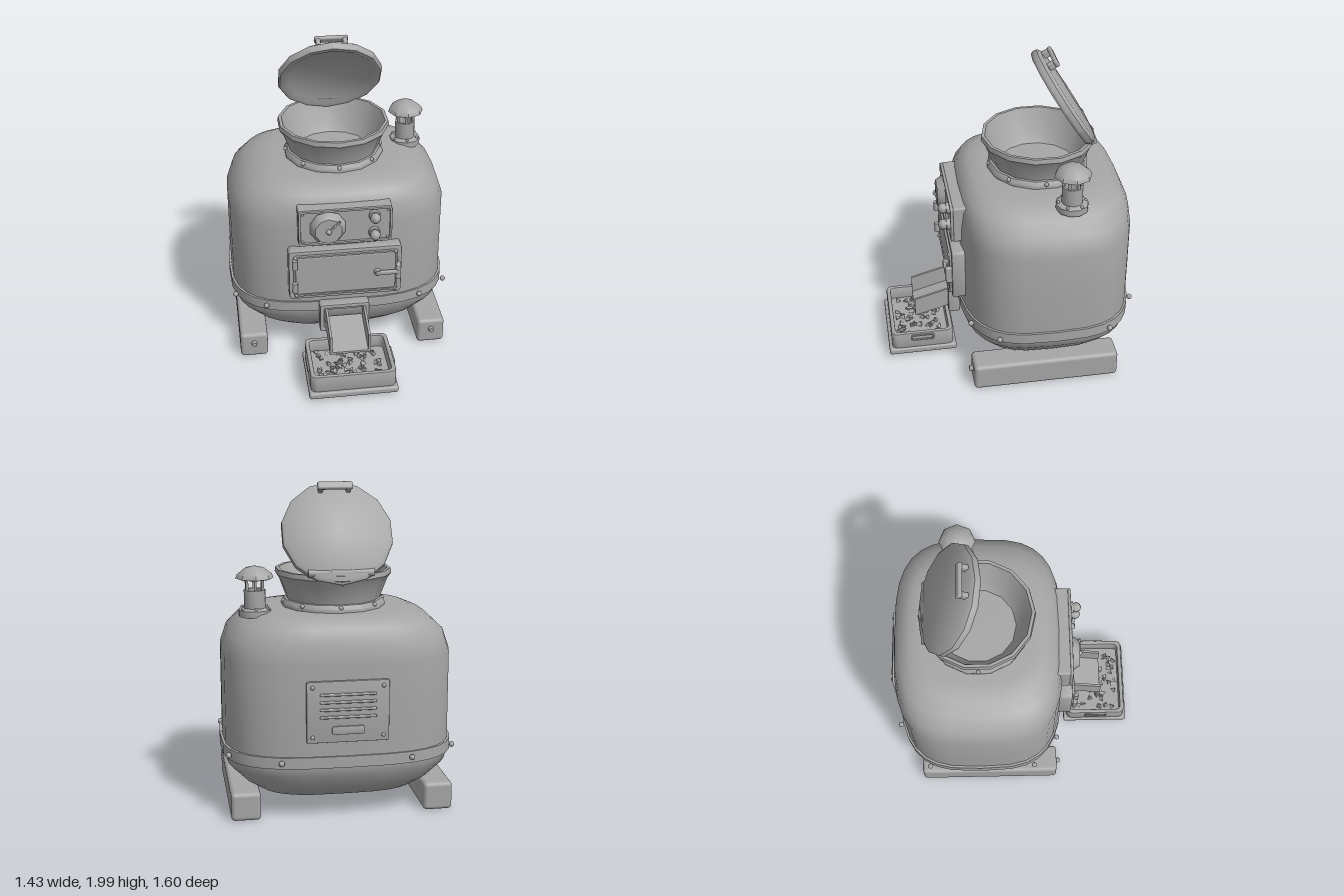
import * as THREE from 'three';
import { toCreasedNormals } from 'three/addons/utils/BufferGeometryUtils.js';
import { RoundedBoxGeometry } from 'three/addons/geometries/RoundedBoxGeometry.js';

const grey = new THREE.MeshStandardMaterial({ color: 0xa6a6a6, side: THREE.DoubleSide });
grey.name = 'grey metal';

function add(parent, name, geo, x = 0, y = 0, z = 0) {
  const m = new THREE.Mesh(geo, grey);
  m.name = name;
  m.position.set(x, y, z);
  parent.add(m);
  return m;
}
function group(parent, name, x = 0, y = 0, z = 0) {
  const g = new THREE.Group();
  g.name = name;
  g.position.set(x, y, z);
  parent.add(g);
  return g;
}
const box = (w, h, d, r = 0.01) => new RoundedBoxGeometry(w, h, d, 2, r);
const ball = (r) => new THREE.SphereGeometry(r, 8, 6);
const lathe = (pts, n) => toCreasedNormals(
  new THREE.LatheGeometry(pts.map((p) => new THREE.Vector2(...p)), n), 0.7);
// Cylinder lying along z
const disc = (r0, r1, d, n) => toCreasedNormals(
  new THREE.CylinderGeometry(r1, r0, d, n).rotateX(Math.PI / 2), 0.8);

// Rounded rectangle plate from z = 0 to d; with a margin it becomes a frame
function outline(s, w, h, r) {
  const x = w / 2, y = h / 2, q = Math.PI / 2;
  s.absarc(x - r, y - r, r, 0, q);
  s.absarc(r - x, y - r, r, q, 2 * q);
  s.absarc(r - x, r - y, r, 2 * q, 3 * q);
  s.absarc(x - r, r - y, r, 3 * q, 4 * q);
  s.closePath();
  return s;
}
function plate(w, h, r, d, margin = 0) {
  const s = outline(new THREE.Shape(), w, h, r);
  if (margin) s.holes.push(outline(new THREE.Path(), w - 2 * margin, h - 2 * margin, r * 0.7));
  const b = Math.min(0.008, d / 4);
  const g = new THREE.ExtrudeGeometry(s, { depth: d - 2 * b, bevelThickness: b, bevelSize: b,
    bevelOffset: -b, bevelSegments: 2, curveSegments: 3 });
  return toCreasedNormals(g.translate(0, 0, b), 0.7);
}

// Rounded-square cross-sections [y, half width, half depth] joined from bottom to top
function loft(rings, n = 32, power = 3.2, caps = true) {
  const pos = [], idx = [];
  const f = (v) => Math.sign(v) * Math.abs(v) ** (2 / power);
  for (const [y, hx, hz] of rings)
    for (let i = 0; i < n; i++) {
      const a = (i / n) * Math.PI * 2;
      pos.push(hx * f(Math.cos(a)), y, hz * f(Math.sin(a)));
    }
  for (let k = 0; k < rings.length - 1; k++)
    for (let i = 0; i < n; i++) {
      const a = k * n + i, b = k * n + ((i + 1) % n);
      idx.push(a, a + n, b + n, a, b + n, b);
    }
  if (caps) {
    const c = rings.length * n, t = c - n;
    pos.push(0, rings[0][0], 0, 0, rings[rings.length - 1][0], 0);
    for (let i = 0; i < n; i++) {
      const j = (i + 1) % n;
      idx.push(c, i, j, c + 1, t + j, t + i);
    }
  }
  const g = new THREE.BufferGeometry();
  g.setAttribute('position', new THREE.Float32BufferAttribute(pos, 3));
  g.setIndex(idx);
  g.computeVertexNormals();
  return g;
}

export function createModel() {
  const model = new THREE.Group();
  model.name = 'feeder machine';

  // Tank with its riveted belt
  const CZ = -0.225;
  add(model, 'tank', loft([[0.12, 0.43, 0.3], [0.14, 0.5, 0.4], [0.2, 0.59, 0.465], [0.3, 0.685, 0.535],
    [0.37, 0.7, 0.545], [0.7, 0.7, 0.545], [0.98, 0.7, 0.545], [1.1, 0.66, 0.53], [1.18, 0.575, 0.495],
    [1.22, 0.48, 0.43], [1.237, 0.38, 0.35]]), 0, 0, CZ);
  add(model, 'belt', toCreasedNormals(loft([[0.36, 0.7, 0.54], [0.36, 0.715, 0.555],
    [0.43, 0.715, 0.555], [0.43, 0.7, 0.54]], 32, 3.2, false), 0.7), 0, 0, CZ);
  for (const sx of [-1, 1])
    for (const [x, z] of [[0.5, 0.285], [0.69, 0.13], [0.685, -0.57], [0.39, -0.772]])
      add(model, 'belt rivet', ball(0.018), sx * x, 0.4, z);

  // Feet
  for (const sx of [-1, 1]) {
    add(model, 'foot', box(0.18, 0.175, 0.93, 0.025), sx * 0.59, 0.09, -0.175);
    add(model, 'foot bolt', disc(0.02, 0.015, 0.025, 8), sx * 0.59, 0.11, 0.3);
  }

  // Hopper funnel and flange
  const hopper = group(model, 'hopper', 0, 0, -0.22);
  add(hopper, 'funnel', lathe([[0, 1.25], [0.24, 1.25], [0.27, 1.3], [0.325, 1.44], [0.335, 1.465],
    [0.355, 1.465], [0.36, 1.435], [0.335, 1.4], [0.29, 1.28], [0.28, 1.23]].reverse(), 14));
  add(hopper, 'funnel flange', lathe([[0.32, 1.23], [0.322, 1.255], [0.305, 1.28], [0.27, 1.285]], 14));
  for (let i = 0; i < 8; i++) {
    const a = (i * Math.PI) / 4;
    add(hopper, 'flange rivet', ball(0.014), 0.31 * Math.sin(a), 1.265, 0.31 * Math.cos(a));
  }

  // Open lid with hinge and handle
  const lid = group(model, 'lid', 0, 1.695, -0.385);
  lid.rotation.x = -1.01;
  add(lid, 'lid shell', lathe([[0, -0.005], [0.27, -0.012], [0.305, -0.035], [0.33, -0.035], [0.34, -0.02],
    [0.338, 0.01], [0.315, 0.028], [0, 0.04]], 14));
  for (const sx of [-1, 1]) add(lid, 'handle post', box(0.03, 0.05, 0.05), sx * 0.085, 0.05, 0.275);
  add(lid, 'handle grip', box(0.215, 0.028, 0.05, 0.012), 0, 0.08, 0.275);
  for (const x of [-0.135, 0, 0.135])
    add(model, 'hinge barrel', toCreasedNormals(
      new THREE.CylinderGeometry(0.024, 0.024, 0.125, 10).rotateZ(Math.PI / 2), 0.8), x, 1.48, -0.53);

  // Vent chimney
  const vent = group(model, 'vent', 0.495, 0, -0.34);
  add(vent, 'vent base', lathe([[0, 1.2], [0.1, 1.2], [0.1, 1.24], [0.085, 1.25], [0, 1.25]], 10));
  add(vent, 'vent pipe', lathe([[0.065, 1.24], [0.065, 1.36], [0.05, 1.36], [0.05, 1.26], [0, 1.26]], 12));
  for (let i = 0; i < 6; i++) {
    const a = (i * Math.PI) / 3;
    add(vent, 'vent post', new THREE.CylinderGeometry(0.009, 0.009, 0.09, 6),
      0.055 * Math.sin(a), 1.395, 0.055 * Math.cos(a));
    add(vent, 'vent rivet', ball(0.01), 0.085 * Math.sin(a), 1.25, 0.085 * Math.cos(a));
  }
  add(vent, 'vent cap', lathe([[0, 1.44], [0.1, 1.425], [0.115, 1.43], [0.105, 1.455], [0.06, 1.49], [0, 1.505]], 8));

  // Control box with dial and knobs
  const panel = group(model, 'control panel', 0, 1.01, 0.25);
  add(panel, 'panel box', box(0.585, 0.245, 0.11, 0.012), 0, 0, 0.055);
  add(panel, 'panel rim', plate(0.585, 0.245, 0.02, 0.02, 0.015), 0, 0, 0.105);
  for (const sx of [-1, 1]) for (const sy of [-1, 1])
    add(panel, 'panel screw', ball(0.009), sx * 0.265, sy * 0.098, 0.112);
  add(panel, 'dial', disc(0.115, 0.085, 0.05, 10), -0.11, 0, 0.145);
  add(panel, 'dial hub', ball(0.018), -0.11, 0, 0.175);
  add(panel, 'dial pointer', box(0.012, 0.1, 0.015, 0.004), -0.075, 0.035, 0.172).rotation.z = -0.8;
  for (const y of [0.065, -0.055]) {
    add(panel, 'knob base', disc(0.036, 0.036, 0.03, 10), 0.18, y, 0.125);
    add(panel, 'knob', ball(0.034), 0.18, y, 0.158);
  }

  // Front door with hinges and latch
  const door = group(model, 'door', 0, 0.675, 0.29);
  add(door, 'door frame', plate(0.715, 0.35, 0.025, 0.09, 0.035));
  add(door, 'door lip', plate(0.66, 0.3, 0.02, 0.025, 0.014), 0, 0, 0.08);
  add(door, 'door leaf', box(0.64, 0.28, 0.1, 0.015), 0, 0, 0.05);
  for (const y of [-0.07, 0.1])
    add(door, 'door hinge', new THREE.CylinderGeometry(0.018, 0.018, 0.065, 10), -0.322, y, 0.115);
  add(door, 'latch bar', box(0.16, 0.03, 0.022), 0.265, 0, 0.122);
  add(door, 'latch pivot', disc(0.022, 0.02, 0.03, 10), 0.2, 0, 0.115);
  add(door, 'latch keeper', box(0.032, 0.115, 0.05), 0.333, 0, 0.105);
  for (const sx of [-1, 1]) for (const sy of [-1, 1])
    add(door, 'door screw', ball(0.01), sx * 0.315, sy * 0.14, 0.105);

  // Outlet frame and sloping chute channel
  add(model, 'outlet frame', plate(0.32, 0.205, 0.015, 0.075, 0.028), -0.005, 0.335, 0.315);
  const slope = (h0, h1, x, w) => {
    const s = new THREE.Shape([[0.33, 0.295 + h0], [0.61, 0.215 + h0], [0.61, 0.215 + h1], [0.33, 0.295 + h1]]
      .map((p) => new THREE.Vector2(...p)));
    const g = new THREE.ExtrudeGeometry(s, { depth: w, bevelEnabled: false });
    return g.rotateY(-Math.PI / 2).translate(x + w, 0, 0);
  };
  add(model, 'chute floor', slope(0, 0.015, -0.13, 0.26));
  for (const x of [-0.13, 0.115]) add(model, 'chute side', slope(0, 0.13, x, 0.015));

  // Food tray
  const tray = group(model, 'tray', 0, 0, 0.578);
  add(tray, 'tray base', box(0.565, 0.045, 0.444, 0.015), 0, 0.0425, 0);
  add(tray, 'tray walls', plate(0.54, 0.405, 0.04, 0.12, 0.028).rotateX(-Math.PI / 2), 0, 0.058, 0);
  add(tray, 'tray floor', box(0.5, 0.03, 0.37), 0, 0.075, 0);
  for (const sx of [-1, 1])
    add(tray, 'tray handle', plate(0.15, 0.045, 0.01, 0.014, 0.01).rotateY(sx * Math.PI / 2), sx * 0.266, 0.142, 0);

  // Scattered food pieces
  let seed = 7;
  const rnd = () => (seed = (seed * 16807) % 2147483647) / 2147483647;
  for (let i = 0; i < 60; i++) {
    const p = add(tray, 'food piece', new THREE.TetrahedronGeometry(0.024),
      (rnd() - 0.5) * 0.4, 0.097, (rnd() - 0.5) * 0.3);
    p.rotation.set(rnd() * 6, rnd() * 6, rnd() * 6);
  }

  // Rear service plate with slats
  const rear = group(model, 'service plate', 0, 0.705, -0.765);
  rear.rotation.y = Math.PI;
  add(rear, 'plate', plate(0.49, 0.37, 0.012, 0.022));
  for (let i = 0; i < 4; i++) add(rear, 'slat', box(0.335, 0.016, 0.025, 0.006), 0, 0.105 - i * 0.045, 0.022);
  add(rear, 'label plate', plate(0.19, 0.05, 0.008, 0.012), 0, -0.11, 0.02);
  for (const sx of [-1, 1]) for (const sy of [-1, 1])
    add(rear, 'plate screw', ball(0.013), sx * 0.21, sy * 0.15, 0.021);

  return model;
}
